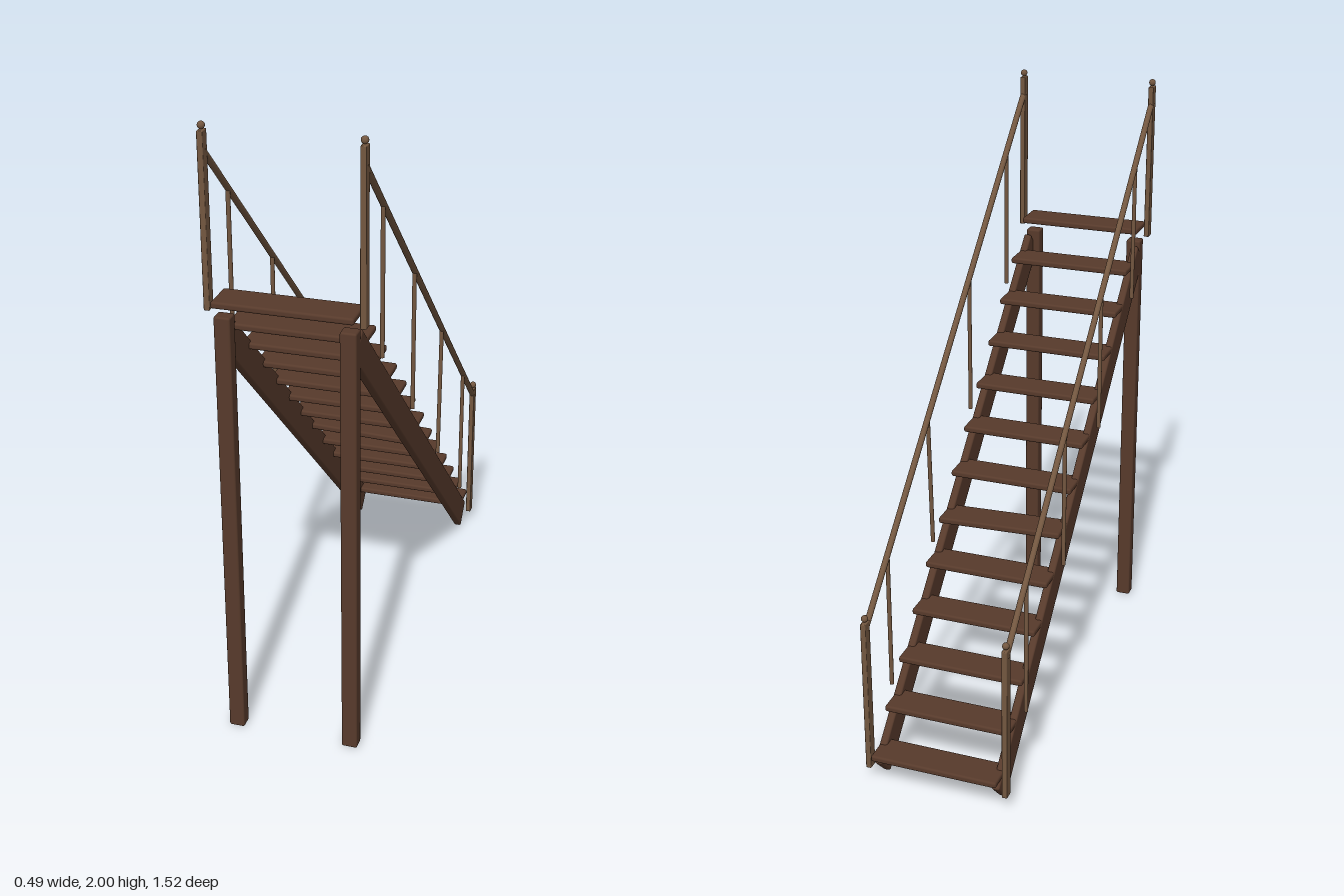
import * as THREE from 'three';
import { RoundedBoxGeometry } from 'three/addons/geometries/RoundedBoxGeometry.js';

export function createModel() {
  const stairs = new THREE.Group();
  stairs.name = 'staircase';
  const darkWood = new THREE.MeshStandardMaterial({ name: 'darkWood', color: 0x573a2b });
  const lightWood = new THREE.MeshStandardMaterial({ name: 'lightWood', color: 0x735740 });

  const add = (name, geometry, material, x, y, z) => {
    const mesh = new THREE.Mesh(geometry, material);
    mesh.name = name;
    mesh.position.set(x, y, z);
    stairs.add(mesh);
    return mesh;
  };
  const beam = (w, h, d, r) => new RoundedBoxGeometry(w, h, d, 2, r);

  // Round rod between two points
  const rod = (name, a, b, radius) => {
    const dir = b.clone().sub(a);
    const mid = a.clone().add(b).multiplyScalar(0.5);
    const mesh = add(name, new THREE.CylinderGeometry(radius, radius, dir.length(), 12), lightWood, mid.x, mid.y, mid.z);
    mesh.quaternion.setFromUnitVectors(new THREE.Vector3(0, 1, 0), dir.normalize());
  };

  // Treads, one of them knocked slightly askew
  const treadGeometry = beam(0.424, 0.021, 0.112, 0.007);
  for (let i = 0; i < 13; i++) {
    const tread = add('tread', treadGeometry, darkWood, 0, 0.105 + i * 0.1142, -0.706 + i * 0.1177);
    if (i === 5) tread.rotation.z = -0.033;
  }

  const stringerGeometry = beam(0.026, 0.098, 1.95, 0.007);
  const supportGeometry = beam(0.05, 1.43, 0.045, 0.006);
  const newelGeometry = beam(0.018, 0.53, 0.034, 0.003);
  const finialGeometry = new THREE.SphereGeometry(0.0115, 12, 8);

  for (const side of [-1, 1]) {
    // Sloping side beam and tall support
    add('stringer', stringerGeometry, darkWood, side * 0.2, 0.711, 0.003).rotation.x = -0.762;
    add('supportPost', supportGeometry, darkWood, side * 0.188, 0.715, 0.717);

    // End posts with ball finials
    const x = side * 0.232;
    for (const [z, base] of [[-0.721, 0.049], [0.721, 1.446]]) {
      add('newelPost', newelGeometry, lightWood, x, base + 0.265, z);
      add('newelFinial', finialGeometry, lightWood, x, base + 0.5425, z);
    }

    // Handrail and balusters
    const railY = z => 1.235 + z * 0.951;
    const point = (z, y) => new THREE.Vector3(x, y, z);
    rod('handrail', point(-0.72, railY(-0.72)), point(0.72, railY(0.72)), 0.01);
    for (const z of [-0.54, -0.18, 0.18, 0.54]) {
      const leaning = side === 1 && z === -0.18;
      const topZ = leaning ? -0.196 : z;
      const bottomZ = leaning ? -0.176 : z;
      rod('baluster', point(bottomZ, railY(z) - 0.475), point(topZ, railY(topZ)), 0.007);
    }
  }
  return stairs;
}
